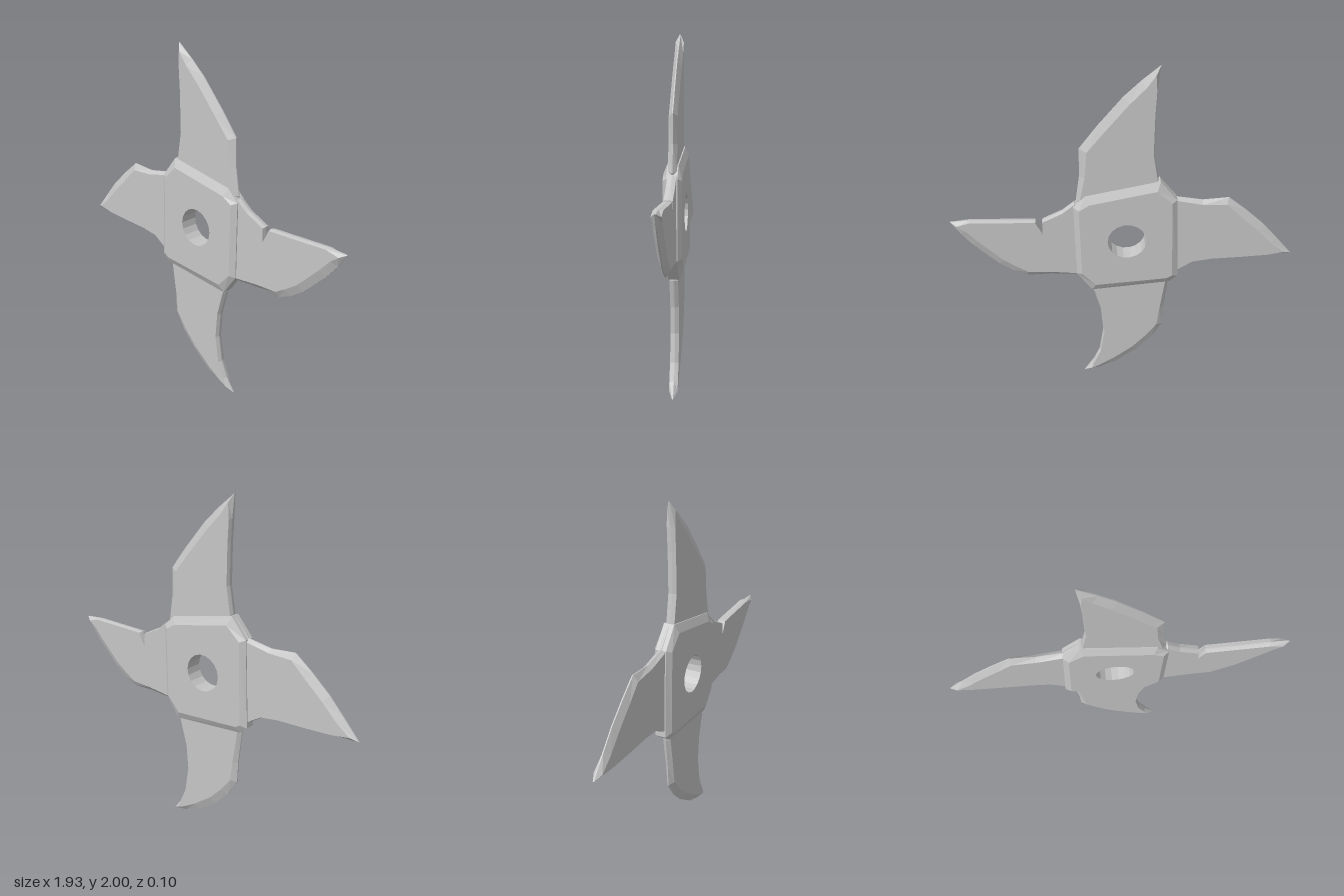
import * as THREE from 'three';

const V = (x, y) => new THREE.Vector2(x, y);

// Moves each CCW outline point [x, y, bevel] inwards along its mitre.
function inset(points) {
  const n = points.length;
  return points.map(([x, y, bevel], i) => {
    const p = V(x, y);
    const a = p.clone().sub(V(...points[(i + n - 1) % n])).normalize();
    const b = V(...points[(i + 1) % n]).sub(p).normalize();
    const m = V(-a.y - b.y, a.x + b.x).normalize();
    const cos = Math.max(m.dot(V(-a.y, a.x)), 0.36);
    return p.addScaledVector(m, bevel / cos);
  });
}

// Flat plate with both rims bevelled from half thickness `face` to `edge`.
function bevelledPlate(name, points, face, edge, material, hole = []) {
  const outer = points.map(([x, y]) => V(x, y));
  const inner = inset(points);
  const pos = [];
  const tri = (...ps) => ps.forEach(([p, z]) => pos.push(p.x, p.y, z));
  const band = (lower, zl, upper, zu) => lower.forEach((a, i) => {
    const j = (i + 1) % lower.length;
    tri([a, zl], [lower[j], zl], [upper[j], zu]);
    tri([a, zl], [upper[j], zu], [upper[i], zu]);
  });
  band(inner, -face, outer, -edge);
  band(outer, -edge, outer, edge);
  band(outer, edge, inner, face);
  if (hole.length) band(hole, -face, hole, face);
  const all = [...inner, ...hole];
  const caps = THREE.ShapeUtils.triangulateShape(inner, hole.length ? [hole] : []);
  for (const [a, b, c] of caps) {
    tri([all[a], face], [all[b], face], [all[c], face]);
    tri([all[c], -face], [all[b], -face], [all[a], -face]);
  }
  const geometry = new THREE.BufferGeometry();
  geometry.setAttribute('position', new THREE.Float32BufferAttribute(pos, 3));
  geometry.computeVertexNormals();
  const mesh = new THREE.Mesh(geometry, material);
  mesh.name = name;
  return mesh;
}

// Outlines run counter-clockwise; the third value is the bevel width.
const blades = {
  topBlade: [
    [-0.178, 2.0, 0.02], [-0.165, 1.87, 0.006], [-0.158, 1.74, 0.006], [-0.155, 1.52, 0.006],
    [-0.18, 1.37, 0.006], [-0.19, 1.25, 0], [0.24, 1.18, 0], [0.27, 1.25, 0.02],
    [0.247, 1.4, 0.03], [0.243, 1.56, 0.04], [0.145, 1.685, 0.045], [0.01, 1.84, 0.045],
    [-0.08, 1.922, 0.04]],
  leftBlade: [
    [-0.963, 0.858, 0.02], [-0.82, 0.855, 0.006], [-0.68, 0.847, 0.006], [-0.495, 0.84, 0.006],
    [-0.39, 0.825, 0.006], [-0.31, 0.775, 0.006], [-0.22, 0.77, 0], [-0.18, 1.28, 0],
    [-0.2, 1.355, 0.01], [-0.285, 1.255, 0.015], [-0.43, 1.23, 0.02], [-0.575, 1.24, 0.035],
    [-0.68, 1.155, 0.045], [-0.785, 1.06, 0.045], [-0.87, 0.965, 0.04]],
  bottomBlade: [
    [0.257, 0, 0.02], [0.2, 0.08, 0.006], [0.16, 0.175, 0.008], [0.135, 0.335, 0.008],
    [0.147, 0.49, 0.008], [0.19, 0.65, 0.008], [0.18, 0.76, 0], [-0.25, 0.8, 0],
    [-0.252, 0.68, 0.02], [-0.23, 0.49, 0.025], [-0.225, 0.36, 0.035], [-0.16, 0.255, 0.045],
    [-0.07, 0.16, 0.045], [0.06, 0.062, 0.045], [0.16, 0.02, 0.03]],
  rightBlade: [
    [0.963, 1.135, 0.02], [0.855, 1.142, 0.006], [0.495, 1.13, 0.004], [0.46, 1.05, 0],
    [0.46, 1.13, 0.004], [0.35, 1.185, 0.006], [0.28, 1.24, 0.006], [0.22, 1.2, 0],
    [0.22, 0.78, 0], [0.285, 0.757, 0.02], [0.43, 0.767, 0.025], [0.565, 0.762, 0.035],
    [0.64, 0.795, 0.045], [0.72, 0.85, 0.045], [0.855, 0.985, 0.045], [0.915, 1.06, 0.04]],
};

const hubOutline = [
  [-0.19, 1.365, 0.045], [-0.285, 1.25, 0.03], [-0.305, 0.74, 0.035], [-0.255, 0.7, 0.04],
  [0.195, 0.66, 0.045], [0.28, 0.78, 0.03], [0.285, 1.22, 0.03], [0.22, 1.285, 0.045]];

export function createModel() {
  const steel = new THREE.MeshStandardMaterial({ color: 0xc6c6c6 });
  steel.name = 'steel';
  const group = new THREE.Group();
  group.name = 'throwingStar';

  // Four curved, sharpened blades
  for (const [name, outline] of Object.entries(blades)) {
    group.add(bevelledPlate(name, outline, 0.024, 0.003, steel));
  }

  // Thick chamfered hub with a round, clockwise hole
  const hole = Array.from({ length: 18 }, (_, i) => {
    const t = -i / 18 * Math.PI * 2;
    return V(-0.008 + 0.109 * Math.cos(t), 1.002 + 0.109 * Math.sin(t));
  });
  group.add(bevelledPlate('hub', hubOutline, 0.052, 0.03, steel, hole));
  return group;
}
